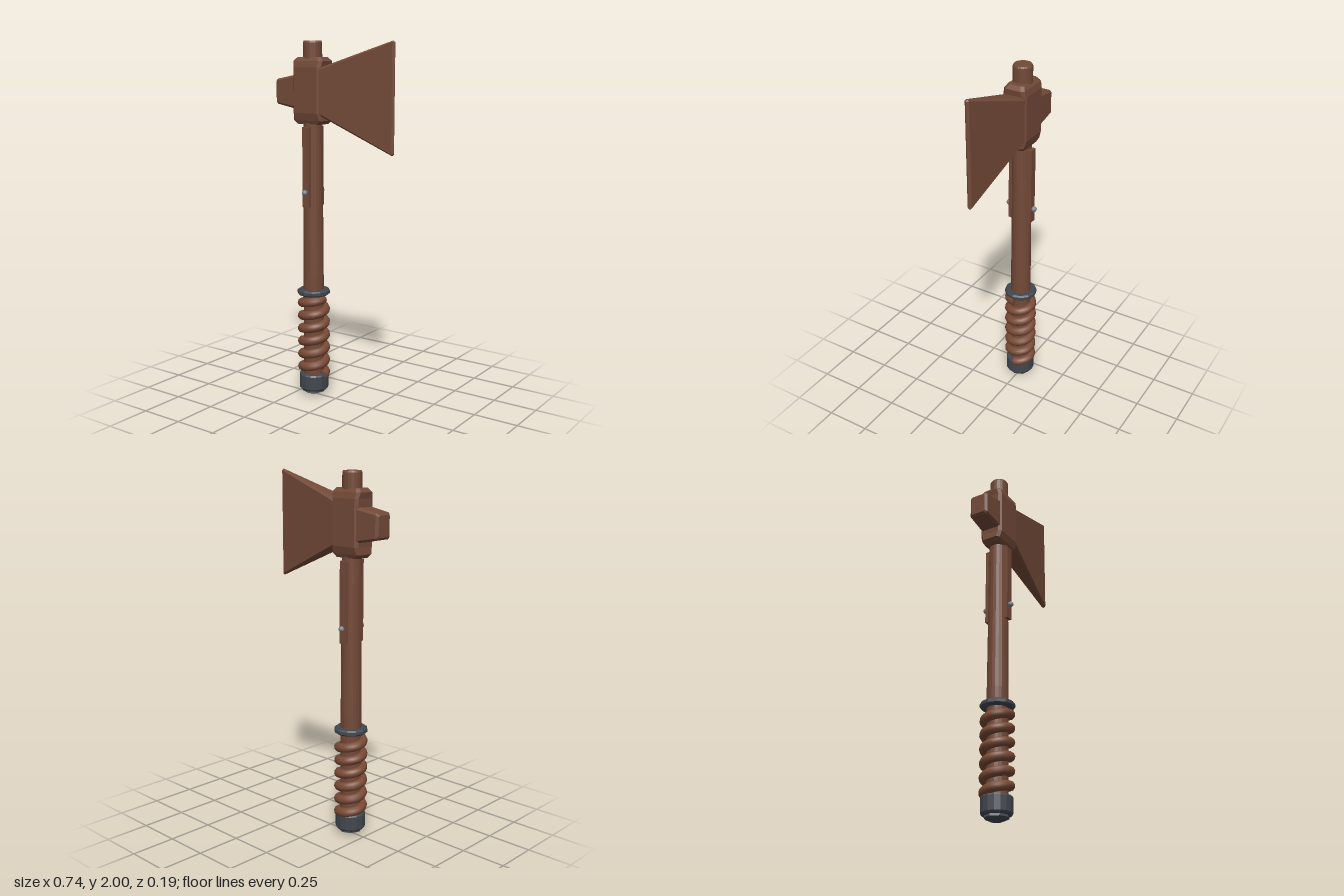
import * as THREE from 'three';

const AXIS_X = -0.152;

// Chamfered rectangle centred on cu, counter-clockwise in (u, v)
function chamferRect(cu, hu, hv, c) {
  return [
    [hu, -hv + c], [hu, hv - c], [hu - c, hv], [-hu + c, hv],
    [-hu, hv - c], [-hu, -hv + c], [-hu + c, -hv], [hu - c, -hv],
  ].map(([u, v]) => [u + cu, v]);
}

// Solid skinned through sections [t, centre, halfU, halfV, chamfer];
// along 'x': u = y, v = z; along 'y': u = z, v = x
function loft(axis, sections) {
  const rings = sections.map(([t, cu, hu, hv, c]) =>
    chamferRect(cu, hu, hv, c).map(([u, v]) => (axis === 'x' ? [t, u, v] : [v, t, u])));
  const pos = [];
  const tri = (...pts) => pts.forEach((p) => pos.push(...p));
  for (let s = 0; s < rings.length - 1; s++) {
    for (let k = 0; k < 8; k++) {
      const n = (k + 1) % 8, a = rings[s], b = rings[s + 1];
      tri(a[k], a[n], b[n]);
      tri(a[k], b[n], b[k]);
    }
  }
  const first = rings[0], last = rings[rings.length - 1];
  for (let k = 1; k < 7; k++) {
    tri(last[0], last[k], last[k + 1]);
    tri(first[0], first[k + 1], first[k]);
  }
  const geo = new THREE.BufferGeometry();
  geo.setAttribute('position', new THREE.Float32BufferAttribute(pos, 3));
  geo.computeVertexNormals();
  return geo;
}

// Right-handed coil around the y axis
class Coil extends THREE.Curve {
  constructor(radius, y0, y1, turns) {
    super();
    Object.assign(this, { radius, y0, y1, turns });
  }
  getPoint(t, target = new THREE.Vector3()) {
    const a = Math.PI / 2 + t * this.turns * Math.PI * 2;
    return target.set(Math.sin(a) * this.radius, this.y0 + (this.y1 - this.y0) * t, Math.cos(a) * this.radius);
  }
}

export function createModel() {
  const mat = (name, color) => {
    const m = new THREE.MeshStandardMaterial({ color });
    m.name = name;
    return m;
  };
  const brown = mat('brown', 0x734a38);
  const leather = mat('leather', 0x794a35);
  const darkSteel = mat('dark steel', 0x424850);
  const pinSteel = mat('pin steel', 0x7c838a);
  [brown, darkSteel].forEach((m) => { m.flatShading = false; });

  const model = new THREE.Group();
  model.name = 'axe';
  const handle = new THREE.Group();
  handle.name = 'handle';
  handle.position.x = AXIS_X;
  model.add(handle);

  const add = (parent, name, geo, material, x = 0, y = 0, z = 0) => {
    const mesh = new THREE.Mesh(geo, material);
    mesh.name = name;
    mesh.position.set(x, y, z);
    parent.add(mesh);
    return mesh;
  };
  // Flat-faced turned part from [radius, y] points
  const turned = (points, sides) => {
    const geo = new THREE.LatheGeometry(points.map(([r, y]) => new THREE.Vector2(r, y)), sides).toNonIndexed();
    geo.computeVertexNormals();
    return geo;
  };

  // Shaft, slightly thicker toward the grip
  add(handle, 'shaft', turned([[0, 0.06], [0.058, 0.06], [0.057, 0.7], [0.052, 1.55], [0.052, 1.99], [0.047, 2], [0, 2]], 20), brown);

  // Grip wrap with closed ends
  const r = 0.066, thick = 0.026, y0 = 0.122, y1 = 0.575;
  add(handle, 'gripWrap', new THREE.TubeGeometry(new Coil(r, y0, y1, 6), 216, thick, 10), leather);
  add(handle, 'wrapStart', new THREE.CircleGeometry(thick, 10), leather, r, y0, 0);
  add(handle, 'wrapEnd', new THREE.CircleGeometry(thick, 10), leather, r, y1, 0).rotation.y = Math.PI;

  // Ring above the grip and pommel below it
  add(handle, 'gripRing', turned([[0.05, 0.594], [0.083, 0.594], [0.092, 0.602], [0.092, 0.618], [0.083, 0.626], [0.05, 0.626]], 12), darkSteel);
  add(handle, 'pommel', turned([[0, 0.035], [0.075, 0.035], [0.083, 0.046], [0.083, 0.122], [0.078, 0.13], [0, 0.13]], 16), darkSteel);
  add(handle, 'pommelCap', turned([[0, 0], [0.03, 0.006], [0.066, 0.022], [0.06, 0.045]], 8), darkSteel);

  // Straps and pins on both faces
  for (const side of [1, -1]) {
    add(handle, 'strap', new THREE.BoxGeometry(0.042, 0.44, 0.03), brown, 0, 1.32, side * 0.055);
    add(handle, 'pin', new THREE.SphereGeometry(0.016, 12, 8), pinSteel, 0, 1.182, side * 0.078);
  }

  // Head: collar, blade and poll
  add(handle, 'collar', loft('y', [
    [1.555, 0, 0.048, 0.078, 0.015],
    [1.575, 0, 0.057, 0.097, 0.015],
    [1.615, 0, 0.068, 0.092, 0.016],
    [1.86, 0, 0.068, 0.092, 0.016],
    [1.892, 0, 0.06, 0.098, 0.016],
    [1.912, 0, 0.046, 0.08, 0.015],
  ]), brown);
  add(model, 'blade', loft('x', [
    [-0.1, 1.73, 0.11, 0.063, 0.013],
    [-0.058, 1.73, 0.131, 0.06, 0.013],
    [0.358, 1.703, 0.292, 0.012, 0.008],
    [0.368, 1.703, 0.284, 0.002, 0.001],
  ]), brown);
  add(model, 'poll', loft('x', [
    [-0.37, 1.728, 0.056, 0.042, 0.008],
    [-0.358, 1.728, 0.068, 0.055, 0.01],
    [-0.245, 1.728, 0.089, 0.06, 0.012],
    [-0.2, 1.728, 0.09, 0.06, 0.012],
  ]), brown);

  return model;
}
